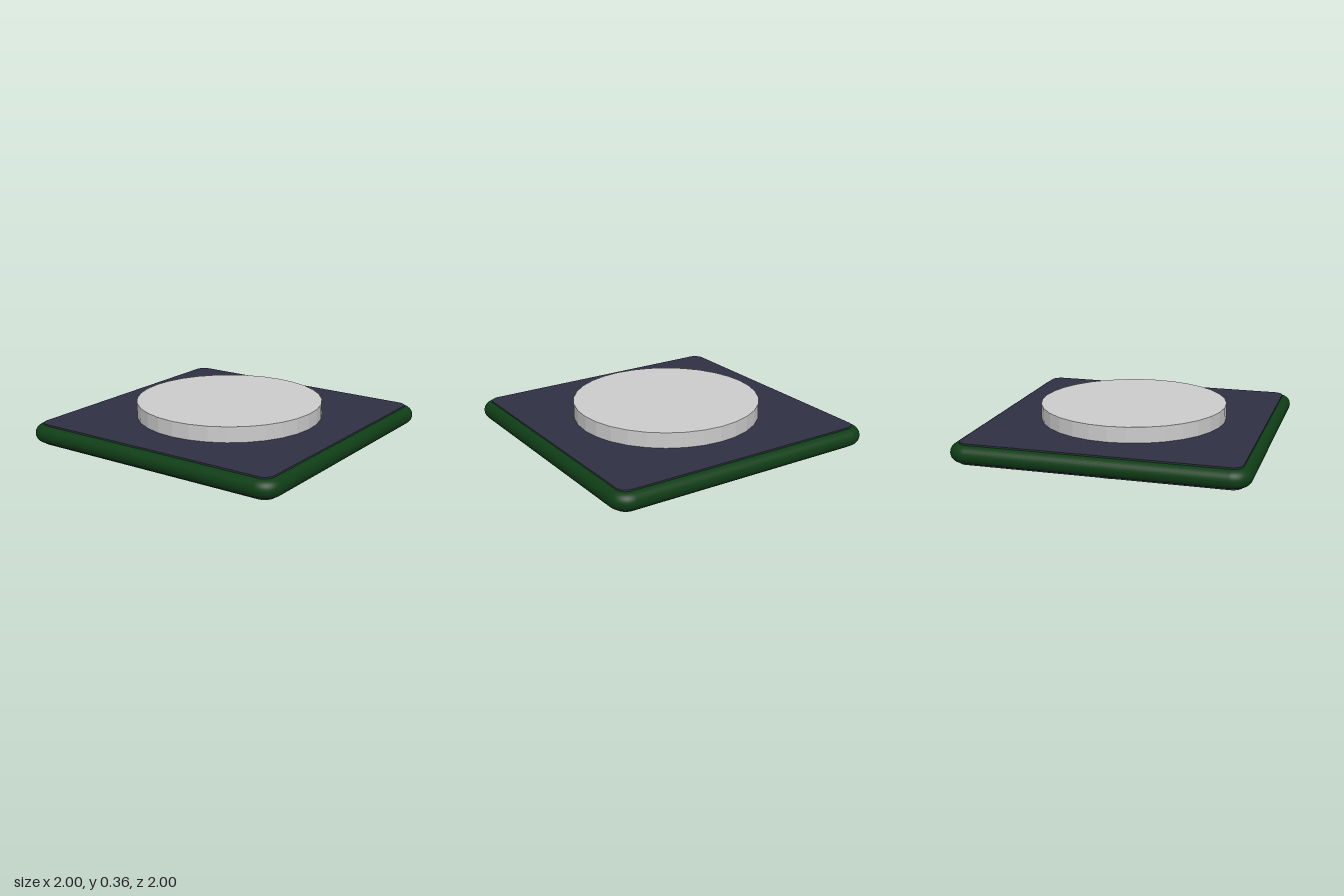
import * as THREE from 'three';
import { mergeVertices } from 'three/addons/utils/BufferGeometryUtils.js';

const MID = 0.18; // height of the symmetry plane

function roundedSquare(h, r) {
  const s = new THREE.Shape();
  s.absarc(h - r, h - r, r, 0, Math.PI / 2);
  s.absarc(r - h, h - r, r, Math.PI / 2, Math.PI);
  s.absarc(r - h, r - h, r, Math.PI, Math.PI * 1.5);
  s.absarc(h - r, r - h, r, Math.PI * 1.5, Math.PI * 2);
  s.closePath();
  return s;
}

// Extrudes the outline, lays it flat and centres it on the symmetry plane
function slab(outline, options) {
  const g = new THREE.ExtrudeGeometry(outline, options);
  g.translate(0, 0, -options.depth / 2);
  g.rotateX(-Math.PI / 2);
  g.translate(0, MID, 0);
  return g;
}

export function createModel() {
  const model = new THREE.Group();
  const add = (name, geometry, color, flatShading = false) => {
    const mesh = new THREE.Mesh(geometry, new THREE.MeshStandardMaterial({ color, flatShading }));
    mesh.name = name;
    model.add(mesh);
  };
  const outline = roundedSquare(0.94, 0.07);

  // Flat panel
  add('panel', slab(outline, { depth: 0.144, bevelEnabled: false, curveSegments: 8 }), 0x303044, true);

  // Half-round bumper running around the panel edge
  const bumper = slab(outline, {
    depth: 0.002, bevelEnabled: true, bevelSize: 0.06, bevelThickness: 0.06,
    bevelSegments: 10, curveSegments: 8,
  });
  bumper.deleteAttribute('uv');
  bumper.deleteAttribute('normal');
  const smooth = mergeVertices(bumper);
  smooth.computeVertexNormals();
  add('edgeBumper', smooth, 0x0f3d16);

  // Faceted disc passing through the panel
  const disc = new THREE.CylinderGeometry(0.655, 0.655, 0.36, 32);
  disc.translate(0, MID, 0);
  add('centreDisc', disc, 0xcccccc, true);

  return model;
}
